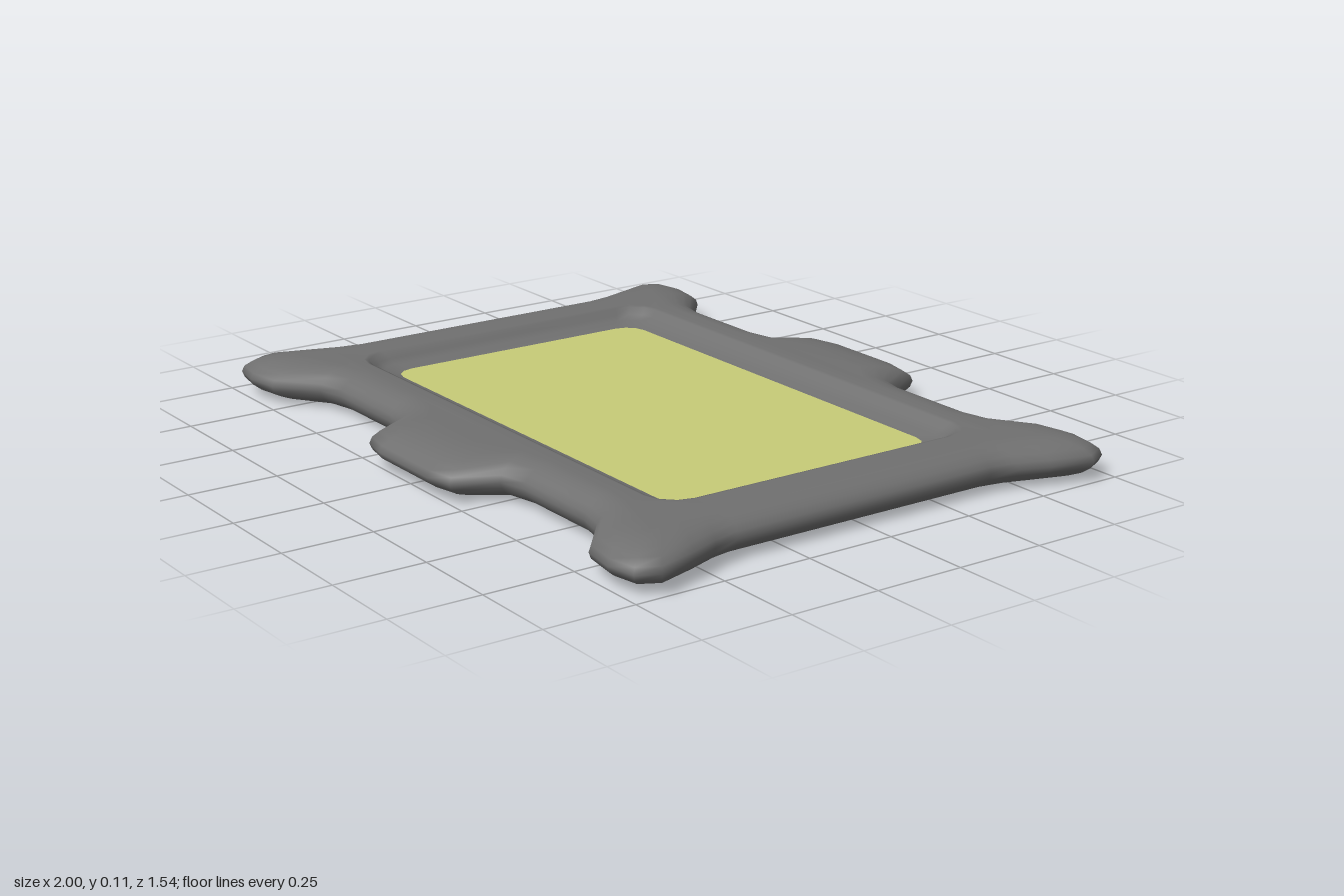
import * as THREE from 'three';

const HEIGHT = 0.11, FLOOR = 0.068;

// Quarter outline: [outer x, outer z, inner x, inner z]; inner = where the rounded edge becomes flat
const QUARTER = [
  [0.915, 0.398, 0.82, 0.39], [0.932, 0.475, 0.825, 0.45], [0.965, 0.56, 0.84, 0.52],
  [0.998, 0.675, 0.865, 0.585], [0.967, 0.733, 0.855, 0.605], [0.883, 0.748, 0.83, 0.61],
  [0.785, 0.733, 0.78, 0.595], [0.677, 0.64, 0.68, 0.55], [0.596, 0.62, 0.59, 0.535],
  [0.334, 0.62, 0.33, 0.535], [0.256, 0.64, 0.23, 0.55], [0.2, 0.755, 0.15, 0.605],
  [0.12, 0.772, 0.09, 0.615],
];

// Mirror a quarter loop into a closed loop running from +x towards +z
function mirrorLoop(quarter) {
  const flip = (pts, sx, sz) => pts.map(([x, z]) => [x * sx, z * sz]);
  const back = [...quarter].reverse();
  return [...quarter, ...flip(back, -1, 1), ...flip(quarter, -1, -1), ...flip(back, 1, -1)];
}

// Rectangle loop with rounded corners
function roundedRect(hx, hz, r) {
  const quarter = [];
  for (let i = 0; i <= 3; i++) {
    const a = (i / 3) * Math.PI / 2;
    quarter.push([hx - r + r * Math.cos(a), hz - r + r * Math.sin(a)]);
  }
  return mirrorLoop(quarter);
}

// Collects loops of points, joined by walls and flat caps
class Surface {
  constructor() { this.positions = []; this.indices = []; }

  ring(loop, y) {
    const start = this.positions.length / 3;
    for (const [x, z] of loop) this.positions.push(x, y, z);
    return { start, loop };
  }

  join(a, b) {
    const n = a.loop.length;
    for (let i = 0; i < n; i++) {
      const j = (i + 1) % n;
      this.indices.push(a.start + i, b.start + i, a.start + j);
      this.indices.push(a.start + j, b.start + i, b.start + j);
    }
  }

  cap(outer, hole, up) {
    const vec = (r) => r.loop.map(([x, z]) => new THREE.Vector2(x, z));
    const holes = hole ? [vec(hole)] : [];
    const pts = [...vec(outer), ...(hole ? holes[0] : [])];
    const n = outer.loop.length;
    const id = (i) => (i < n ? outer.start + i : hole.start + i - n);
    for (const [a, b, c] of THREE.ShapeUtils.triangulateShape(vec(outer), holes)) {
      const area = THREE.ShapeUtils.area([pts[a], pts[b], pts[c]]);
      if ((area < 0) === up) this.indices.push(id(a), id(b), id(c));
      else this.indices.push(id(a), id(c), id(b));
    }
  }

  mesh(name, color) {
    const g = new THREE.BufferGeometry();
    g.setAttribute('position', new THREE.Float32BufferAttribute(this.positions, 3));
    g.setIndex(this.indices);
    g.computeVertexNormals();
    const m = new THREE.Mesh(g, new THREE.MeshStandardMaterial({ color }));
    m.name = name;
    return m;
  }
}

export function createModel() {
  const group = new THREE.Group();
  group.name = 'framedPanel';

  // Frame: rounded rim swept from the underside to the top
  const body = new Surface();
  const STEPS = 10;
  let first, last;
  for (let k = 0; k <= STEPS; k++) {
    const a = -Math.PI / 2 + (k / STEPS) * Math.PI;
    const t = Math.cos(a);
    const loop = mirrorLoop(QUARTER.map(([ox, oz, ix, iz]) => [ix + (ox - ix) * t, iz + (oz - iz) * t]));
    const ring = body.ring(loop, (HEIGHT / 2) * (1 + Math.sin(a)));
    if (last) body.join(last, ring);
    else first = ring;
    last = ring;
  }
  body.cap(first, null, false);

  // Recess: steep upper wall easing into the floor
  const recess = [
    [0.755, 0.493, 0.09, HEIGHT], [0.743, 0.483, 0.085, 0.107], [0.728, 0.468, 0.08, 0.09],
    [0.712, 0.45, 0.07, 0.077], [0.675, 0.41, 0.06, FLOOR],
  ].map(([hx, hz, r, y]) => body.ring(roundedRect(hx, hz, r), y));
  body.cap(last, recess[0], true);
  for (let k = 1; k < recess.length; k++) body.join(recess[k - 1], recess[k]);
  group.add(body.mesh('frame', 0x707070));

  // Coloured panel filling the recess floor
  const panel = new Surface();
  panel.cap(panel.ring(roundedRect(0.675, 0.41, 0.06), FLOOR), null, true);
  group.add(panel.mesh('panel', 0xc8cc78));

  return group;
}
